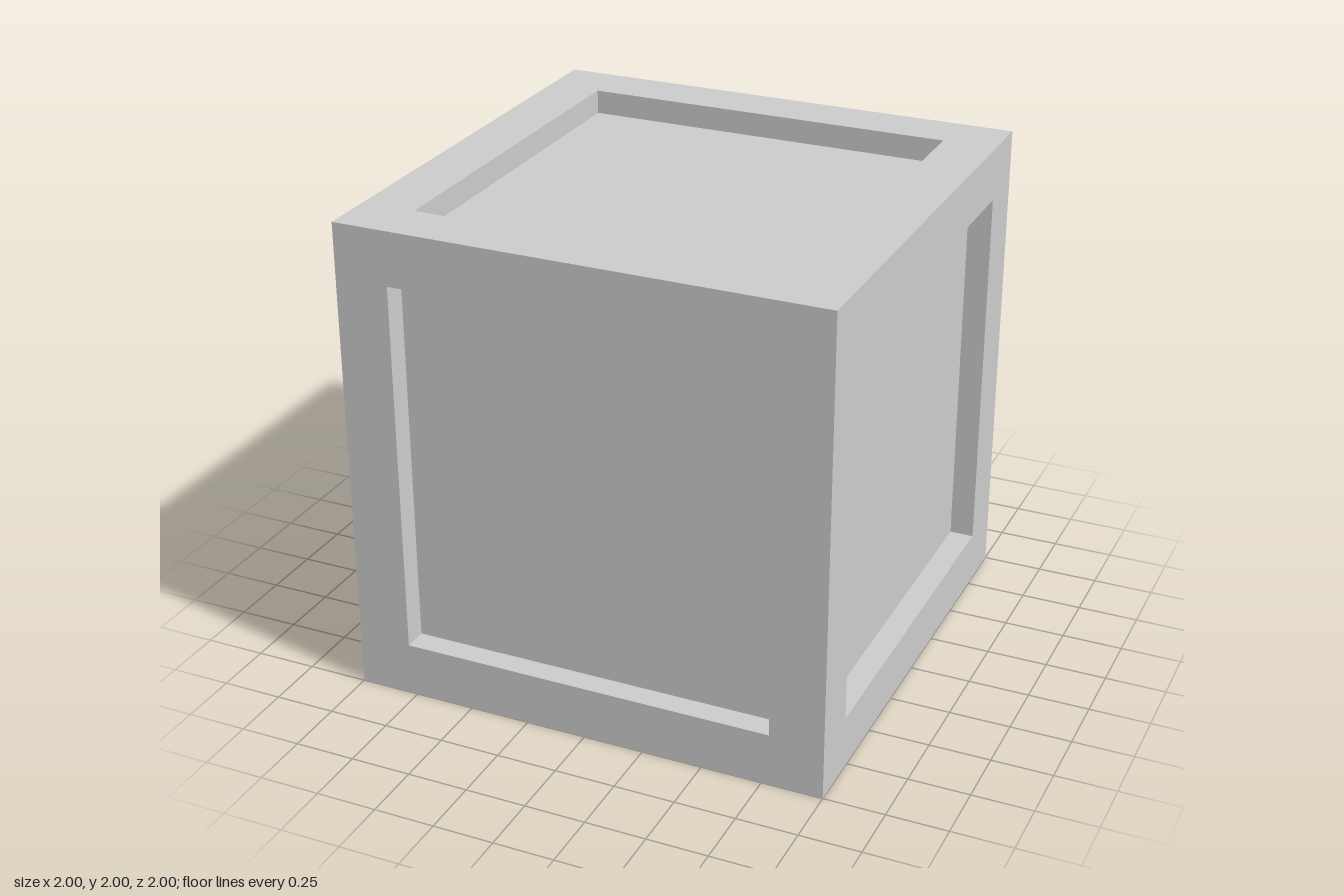
import * as THREE from 'three';
import { mergeGeometries } from 'three/addons/utils/BufferGeometryUtils.js';

const HALF = 1;        // half the cube's edge
const OPENING = 0.778; // half the width of each recess
const DEPTH = 0.1;     // depth of each recess

// Rotations that carry the +y face to each of the six sides
const SIDES = {
  top: [0, 0, 0],
  bottom: [Math.PI, 0, 0],
  front: [Math.PI / 2, 0, 0],
  back: [-Math.PI / 2, 0, 0],
  left: [0, 0, -Math.PI / 2],
  right: [0, 0, Math.PI / 2],
};

function turned(geometry, rotation) {
  return geometry.applyMatrix4(
    new THREE.Matrix4().makeRotationFromEuler(new THREE.Euler(...rotation))
  );
}

// Square border with the four recess walls: a four-sided lathe
function borderGeometry() {
  const profile = [
    [HALF, HALF],
    [OPENING, HALF],
    [OPENING, HALF - DEPTH],
  ].map(([r, y]) => new THREE.Vector2(r * Math.SQRT2, y));
  const geometry = new THREE.LatheGeometry(profile, 4, Math.PI / 4).toNonIndexed();
  geometry.computeVertexNormals();
  return geometry;
}

function panelGeometry() {
  return new THREE.PlaneGeometry(2 * OPENING, 2 * OPENING)
    .rotateX(-Math.PI / 2)
    .translate(0, HALF - DEPTH, 0);
}

export function createModel() {
  const model = new THREE.Group();
  model.name = 'crate';
  const material = new THREE.MeshStandardMaterial({ color: 0xcccccc, flatShading: true });

  const addPart = (name, geometry) => {
    const mesh = new THREE.Mesh(geometry, material);
    mesh.name = name;
    mesh.position.y = HALF;
    model.add(mesh);
  };

  // Frame: the borders of all six sides joined into one cube
  addPart('frame', mergeGeometries(
    Object.values(SIDES).map((rotation) => turned(borderGeometry(), rotation))
  ));

  // Sunken panel on each side
  for (const [side, rotation] of Object.entries(SIDES)) {
    addPart(`${side}Panel`, turned(panelGeometry(), rotation));
  }

  return model;
}
